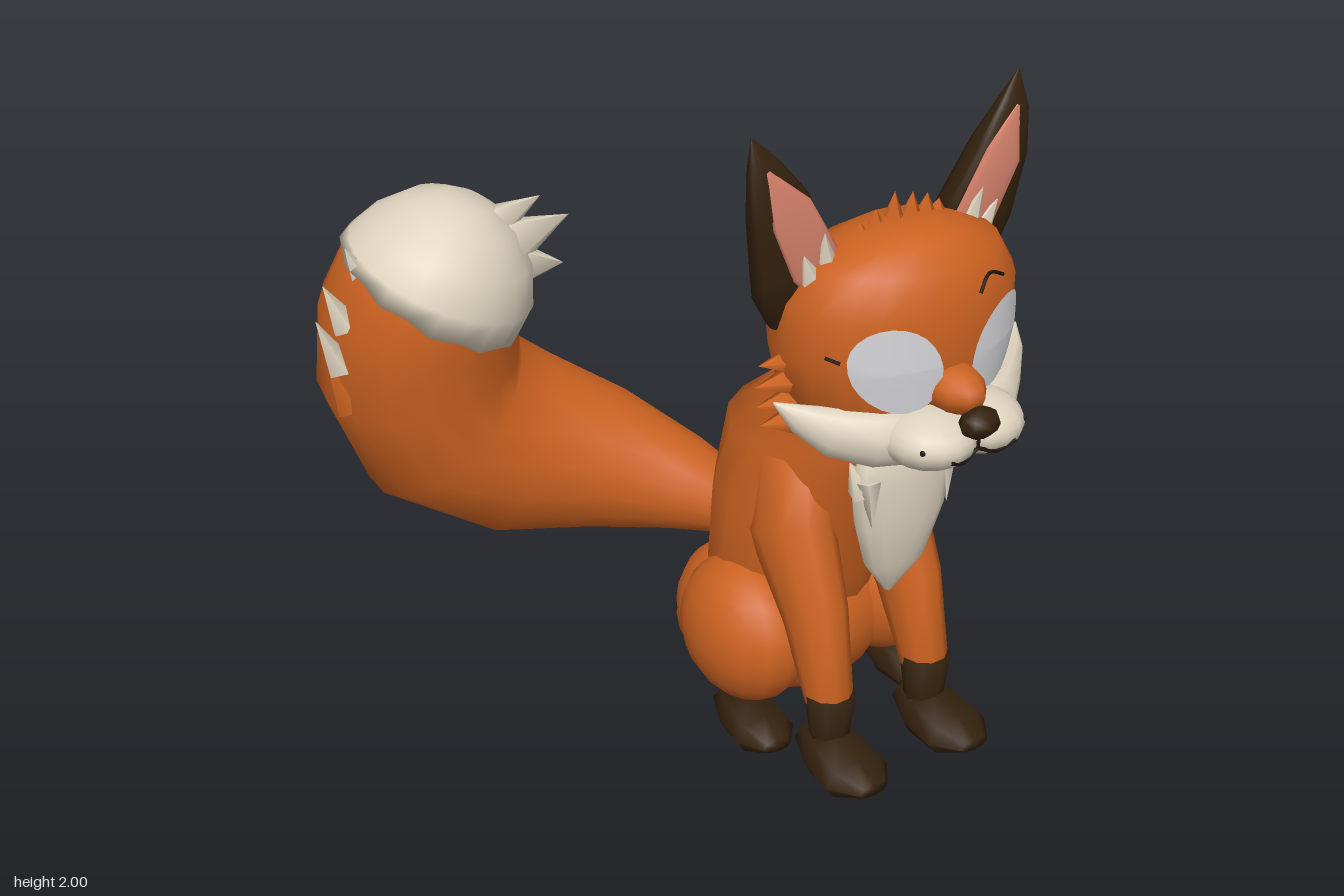
import * as THREE from 'three';

const paint = (name, color, side = THREE.FrontSide) => {
  const m = new THREE.MeshStandardMaterial({ color, side });
  m.name = name;
  return m;
};
const V = (x, y, z) => new THREE.Vector3(x, y, z);
const X = V(1, 0, 0), Y = V(0, 1, 0), Z = V(0, 0, 1);

// Skin over elliptical rings [x, y, z, ru, rv]; u follows ref, v is level when given.
function loft(rings, { ref = X, v: level, sides = 14, front = 1, zigzag = 0 } = {}) {
  const pos = [], index = [], n = rings.length;
  const centres = rings.map(r => V(r[0], r[1], r[2]));
  rings.forEach((r, i) => {
    const t = centres[Math.min(i + 1, n - 1)].clone().sub(centres[Math.max(i - 1, 0)]).normalize();
    const u = level ? ref.clone() : ref.clone().addScaledVector(t, -ref.dot(t)).normalize();
    const v = level || u.clone().cross(t);
    for (let j = 0; j < sides; j++) {
      const a = (j / sides) * Math.PI * 2, s = Math.sin(a);
      const p = centres[i].clone().addScaledVector(u, Math.cos(a) * r[3])
        .addScaledVector(v, s * (r[4] ?? r[3]) * (s > 0 ? front : 1));
      if (i === 0 && zigzag) p.addScaledVector(t, j % 2 ? zigzag : -zigzag);
      pos.push(p.x, p.y, p.z);
    }
  });
  for (let i = 0; i < n - 1; i++) for (let j = 0; j < sides; j++) {
    const a = i * sides + j, b = i * sides + (j + 1) % sides, c = a + sides, d = b + sides;
    index.push(a, c, b, b, c, d);
  }
  const first = n * sides, last = first + 1;
  for (const c of [centres[0], centres[n - 1]]) pos.push(c.x, c.y, c.z);
  for (let j = 0; j < sides; j++) {
    const k = (j + 1) % sides, o = (n - 1) * sides;
    index.push(first, j, k, last, o + k, o + j);
  }
  const g = new THREE.BufferGeometry();
  g.setAttribute('position', new THREE.Float32BufferAttribute(pos, 3));
  g.setIndex(index);
  g.computeVertexNormals();
  return g;
}

// Head rings, also used to lay the eyes and brow on its surface
const HEAD = [
  [0, 1.08, 0.57, 0.07, 0.07], [0, 1.15, 0.53, 0.22, 0.2], [0, 1.25, 0.5, 0.32, 0.26],
  [0, 1.4, 0.495, 0.355, 0.275], [0, 1.54, 0.515, 0.345, 0.25], [0, 1.64, 0.53, 0.28, 0.195],
  [0, 1.69, 0.54, 0.17, 0.13], [0, 1.71, 0.55, 0.08, 0.06],
];
function onFace(x, y, lift = 0.01) {
  let i = 0;
  while (i < HEAD.length - 2 && HEAD[i + 1][1] < y) i++;
  const a = HEAD[i], b = HEAD[i + 1], k = (y - a[1]) / (b[1] - a[1]);
  const [, , c, rx, rz] = a.map((q, m) => q + (b[m] - q) * k);
  return V(x, y, c + rz * Math.sqrt(Math.max(0, 1 - (x / rx) ** 2)) + lift);
}

// Oval patch that follows the face
function facePatch(cx, cy, rx, ry, slant) {
  const g = new THREE.RingGeometry(0.001, 1, 24, 5), p = g.attributes.position;
  for (let i = 0; i < p.count; i++) {
    const x = p.getX(i), y = p.getY(i);
    const q = onFace(cx + x * rx + y * slant, cy + y * ry);
    p.setXYZ(i, q.x, q.y, q.z);
  }
  g.computeVertexNormals();
  return g;
}

export function createModel() {
  const fur = paint('orange fur', 0xcc6221), cream = paint('cream fur', 0xddd2bd);
  const dark = paint('dark brown fur', 0x34210d), pink = paint('ear pink', 0xd6826c);
  const white = paint('eye white', 0xd6d6da, THREE.DoubleSide), black = paint('mouth line', 0x1e140d);

  const root = new THREE.Group(), fox = new THREE.Group();
  root.name = 'fox';
  fox.name = 'sittingFox';
  fox.position.x = 0.37;
  root.add(fox);

  const add = (name, geo, mat, parent = fox) => {
    const m = new THREE.Mesh(geo, mat);
    m.name = name;
    parent.add(m);
    return m;
  };
  const ball = (name, mat, p, r, w = 16, h = 12) => {
    const m = add(name, new THREE.SphereGeometry(1, w, h), mat);
    m.position.set(...p);
    m.scale.set(...r);
  };
  const spike = (name, mat, base, tip, r, parent = fox) => {
    const a = V(...base), d = V(...tip).sub(a);
    const m = add(name, new THREE.ConeGeometry(r, d.length(), 5), mat, parent);
    m.position.copy(a).addScaledVector(d, 0.5);
    m.quaternion.setFromUnitVectors(Y, d.normalize());
  };
  const line = (name, pts, r) =>
    add(name, new THREE.TubeGeometry(new THREE.CatmullRomCurve3(pts), 12, r, 5), black);

  // Torso, neck, hips and rump
  add('torso', loft([
    [0, 0.2, 0.1, 0.24, 0.2], [0, 0.5, 0.13, 0.28, 0.24], [0, 0.75, 0.165, 0.28, 0.275],
    [0, 0.95, 0.2, 0.23, 0.3], [0, 1.08, 0.3, 0.2, 0.245], [0, 1.2, 0.35, 0.19, 0.155],
    [0, 1.35, 0.43, 0.19, 0.2],
  ], { v: Z }), fur);
  ball('hips', fur, [0, 0.3, 0.12], [0.31, 0.27, 0.26]);
  ball('rump', fur, [0, 0.235, 0], [0.31, 0.235, 0.235]);

  // Chest ruff
  add('chestRuff', loft([
    [0, 0.58, 0.55, 0.012, 0.012], [0, 0.7, 0.57, 0.1, 0.055], [0, 0.85, 0.58, 0.15, 0.065],
    [0, 0.98, 0.58, 0.17, 0.065], [0, 1.06, 0.585, 0.155, 0.05], [0, 1.09, 0.58, 0.1, 0.03],
  ], { v: Z }), cream);

  // Head, muzzle, nose and mouth
  add('head', loft(HEAD, { v: Z, sides: 20 }), fur);
  ball('noseBridge', fur, [0, 1.325, 0.75], [0.08, 0.068, 0.115], 10, 8);
  ball('nose', dark, [0, 1.27, 0.872], [0.062, 0.042, 0.045], 8, 6);
  ball('chin', cream, [0, 1.145, 0.69], [0.11, 0.055, 0.1]);
  line('mouth', [V(-0.11, 1.195, 0.894), V(-0.05, 1.175, 0.884), V(0, 1.195, 0.874),
    V(0.05, 1.175, 0.884), V(0.11, 1.195, 0.894)], 0.006);
  line('mouthCleft', [V(0, 1.25, 0.875), V(0, 1.195, 0.874)], 0.005);
  line('eyebrow', [[0.08, 1.565], [0.13, 1.6], [0.19, 1.575]].map(p => onFace(...p, 0.004)), 0.005);

  // Hair on the crown
  [[-0.12, 1.72], [-0.07, 1.745], [-0.01, 1.78], [0.05, 1.765], [0.1, 1.75], [0.14, 1.725]].forEach(([x, y]) =>
    spike('crownTuft', fur, [x * 0.95, 1.65, 0.5], [x, y, 0.5], 0.048));

  for (const s of [-1, 1]) {
    // Legs
    add('frontLeg', loft([
      [s * 0.175, 0.25, 0.53, 0.07, 0.07], [s * 0.17, 0.5, 0.44, 0.09, 0.11],
      [s * 0.16, 0.72, 0.3, 0.115, 0.15], [s * 0.13, 0.93, 0.26, 0.1, 0.12],
    ], { sides: 10 }), fur);
    add('frontSock', loft([
      [s * 0.175, 0.08, 0.54, 0.06], [s * 0.175, 0.15, 0.535, 0.06], [s * 0.175, 0.28, 0.53, 0.077],
    ], { v: Z, sides: 8 }), dark);
    ball('haunch', fur, [s * 0.24, 0.34, 0.2], [0.17, 0.225, 0.23]);
    ball('buttock', fur, [s * 0.17, 0.29, 0.07], [0.17, 0.23, 0.22]);

    // Wedge-shaped paws
    add('frontPaw', loft([
      [s * 0.18, 0.1, 0.46, 0.06, 0.04], [s * 0.18, 0.085, 0.56, 0.1, 0.075],
      [s * 0.185, 0.075, 0.68, 0.11, 0.06], [s * 0.185, 0.08, 0.76, 0.05, 0.02],
    ], { sides: 8 }), dark);
    add('hindPaw', loft([
      [s * 0.27, 0.1, 0.18, 0.06, 0.03], [s * 0.28, 0.085, 0.27, 0.09, 0.07],
      [s * 0.29, 0.08, 0.38, 0.095, 0.06], [s * 0.3, 0.085, 0.455, 0.045, 0.02],
    ], { sides: 8 }), dark);

    // Muzzle lobe, cheek wing and whisker dot
    ball('muzzle', cream, [s * 0.08, 1.21, 0.76], [0.13, 0.08, 0.14]);
    add('cheekWing', loft([
      [s * 0.08, 1.2, 0.72, 0.085, 0.09], [s * 0.2, 1.205, 0.685, 0.083, 0.08],
      [s * 0.29, 1.22, 0.63, 0.07, 0.055], [s * 0.36, 1.26, 0.585, 0.042, 0.033],
      [s * 0.41, 1.3, 0.54, 0.003, 0.003],
    ], { ref: Y, sides: 10 }), cream);
    ball('whiskerDot', black, [s * 0.17, 1.225, 0.855], [0.008, 0.008, 0.008], 6, 5);

    // Eye and lash
    add('eye', facePatch(s * 0.165, 1.405, 0.114, 0.125, s * 0.025), white);
    line('eyelash', [onFace(s * 0.29, 1.43, 0.004), onFace(s * 0.315, 1.44, 0.004)], 0.005);

    // Ear shell, pink lining and inner tufts
    add('ear', loft([
      [s * 0.31, 1.45, 0.44, 0.045, 0.06], [s * 0.295, 1.53, 0.455, 0.11, 0.1],
      [s * 0.3, 1.63, 0.475, 0.125, 0.11], [s * 0.365, 1.81, 0.485, 0.09, 0.09],
      [s * 0.405, 1.92, 0.472, 0.05, 0.05], [s * 0.43, 2, 0.45, 0.004, 0.004],
    ], { front: 0.3 }), dark);
    add('earLining', loft([
      [s * 0.245, 1.57, 0.497, 0.04, 0.012], [s * 0.262, 1.64, 0.506, 0.075, 0.012],
      [s * 0.345, 1.8, 0.509, 0.065, 0.01], [s * 0.405, 1.92, 0.486, 0.006, 0.003],
    ]), pink);
    spike('earTuft', cream, [s * 0.22, 1.57, 0.505], [s * 0.26, 1.74, 0.535], 0.05);
    spike('earTuft', cream, [s * 0.26, 1.56, 0.505], [s * 0.32, 1.69, 0.53], 0.05);

    // Cheek fur and ruff tufts
    [[0.41, 1.385], [0.42, 1.325], [0.415, 1.265], [0.4, 1.205]].forEach(([x, y]) =>
      spike('cheekTuft', fur, [s * 0.27, y - 0.01, 0.49], [s * x, y - 0.01, 0.47], 0.058));
    spike('ruffTuft', cream, [s * 0.13, 0.96, 0.58], [s * 0.175, 1.06, 0.57], 0.045);
    spike('ruffTuft', cream, [s * 0.13, 1.0, 0.6], [s * 0.13, 0.86, 0.625], 0.035);
  }

  // Tail sweeping back to the right and curling upward, with a cream tip
  const tail = new THREE.Group();
  tail.name = 'tail';
  root.add(tail);
  const across = V(0.707, 0, -0.707);
  add('tailBrush', loft([
    [0.34, 0.53, -0.06, 0.08], [0.21, 0.58, -0.24, 0.15], [0.05, 0.63, -0.42, 0.22],
    [-0.18, 0.7, -0.56, 0.285], [-0.4, 0.85, -0.62, 0.305], [-0.475, 1.05, -0.61, 0.3],
    [-0.48, 1.22, -0.575, 0.287], [-0.452, 1.305, -0.55, 0.275], [-0.438, 1.335, -0.54, 0.265],
  ], { ref: across, sides: 16 }), fur, tail);
  add('tailTip', loft([
    [-0.452, 1.305, -0.547, 0.288], [-0.422, 1.363, -0.527, 0.281], [-0.395, 1.45, -0.51, 0.24],
    [-0.37, 1.525, -0.495, 0.16], [-0.36, 1.565, -0.485, 0.07],
  ], { ref: across, sides: 22, zigzag: 0.008 }), cream, tail);
  // Loose locks on both sides of the tail
  spike('tailLock', fur, [-0.73, 1.0, -0.54], [-0.8, 1.19, -0.53], 0.05, tail);
  spike('tailLock', cream, [-0.75, 1.13, -0.54], [-0.82, 1.3, -0.53], 0.045, tail);
  spike('tailLock', cream, [-0.73, 1.26, -0.53], [-0.79, 1.4, -0.53], 0.045, tail);
  spike('tailLock', cream, [-0.66, 1.37, -0.53], [-0.72, 1.5, -0.52], 0.045, tail);
  spike('tailLock', cream, [-0.24, 1.42, -0.45], [-0.06, 1.47, -0.43], 0.08, tail);
  spike('tailLock', cream, [-0.22, 1.35, -0.44], [-0.1, 1.34, -0.4], 0.07, tail);
  spike('tailLock', cream, [-0.28, 1.48, -0.47], [-0.14, 1.54, -0.45], 0.06, tail);
  return root;
}
